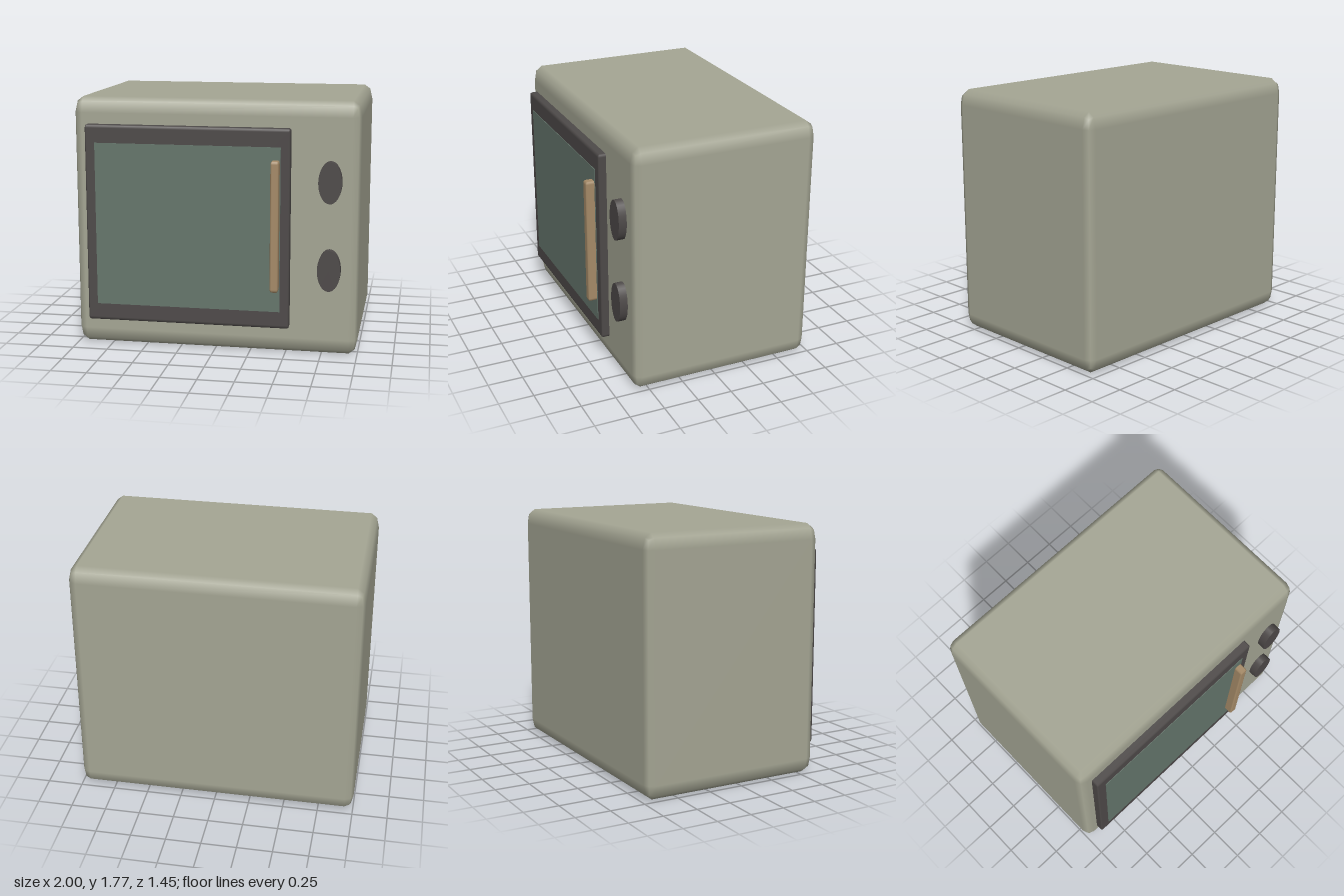
import * as THREE from 'three';
import { RoundedBoxGeometry } from 'three/addons/geometries/RoundedBoxGeometry.js';

const STRETCH = 1.8; // rounded edges are taller than wide

export function createModel() {
  const model = new THREE.Group();
  model.name = 'microwaveOven';

  const material = (name, color) => {
    const m = new THREE.MeshStandardMaterial({ color });
    m.name = name;
    return m;
  };
  const shell = material('warm grey shell', 0xa5a694);
  const dark = material('charcoal', 0x4e4a49);
  const glass = material('green glass', 0x65766c);
  const wood = material('tan handle', 0xa68b68);

  const add = (name, geometry, mat, x, y, z) => {
    const mesh = new THREE.Mesh(geometry, mat);
    mesh.name = name;
    mesh.position.set(x, y, z);
    model.add(mesh);
    return mesh;
  };

  // Rounded box given by its extents
  const block = (name, mat, [x0, x1], [y0, y1], [z0, z1], radius) => {
    const g = new RoundedBoxGeometry(x1 - x0, (y1 - y0) / STRETCH, z1 - z0, 1, radius);
    g.scale(1, STRETCH, 1);
    return add(name, g, mat, (x0 + x1) / 2, (y0 + y1) / 2, (z0 + z1) / 2);
  };

  block('body', shell, [-1, 1], [0, 1.77], [-0.727, 0.605], 0.06);
  block('door', dark, [-0.905, 0.53], [0.19, 1.585], [0.575, 0.661], 0.012);

  // Window plate on the door
  add('window', new THREE.BoxGeometry(1.3, 1.15, 0.008), glass, -0.185, 0.885, 0.661);

  block('handle', wood, [0.402, 0.46], [0.462, 1.372], [0.655, 0.727], 0.012);

  // Oval control knobs
  for (const [name, y] of [['upperKnob', 1.225], ['lowerKnob', 0.615]]) {
    const g = new THREE.CylinderGeometry(0.08, 0.08, 0.07, 32);
    g.rotateX(Math.PI / 2);
    g.scale(1, STRETCH, 1);
    add(name, g, dark, 0.8, y, 0.626);
  }

  return model;
}
